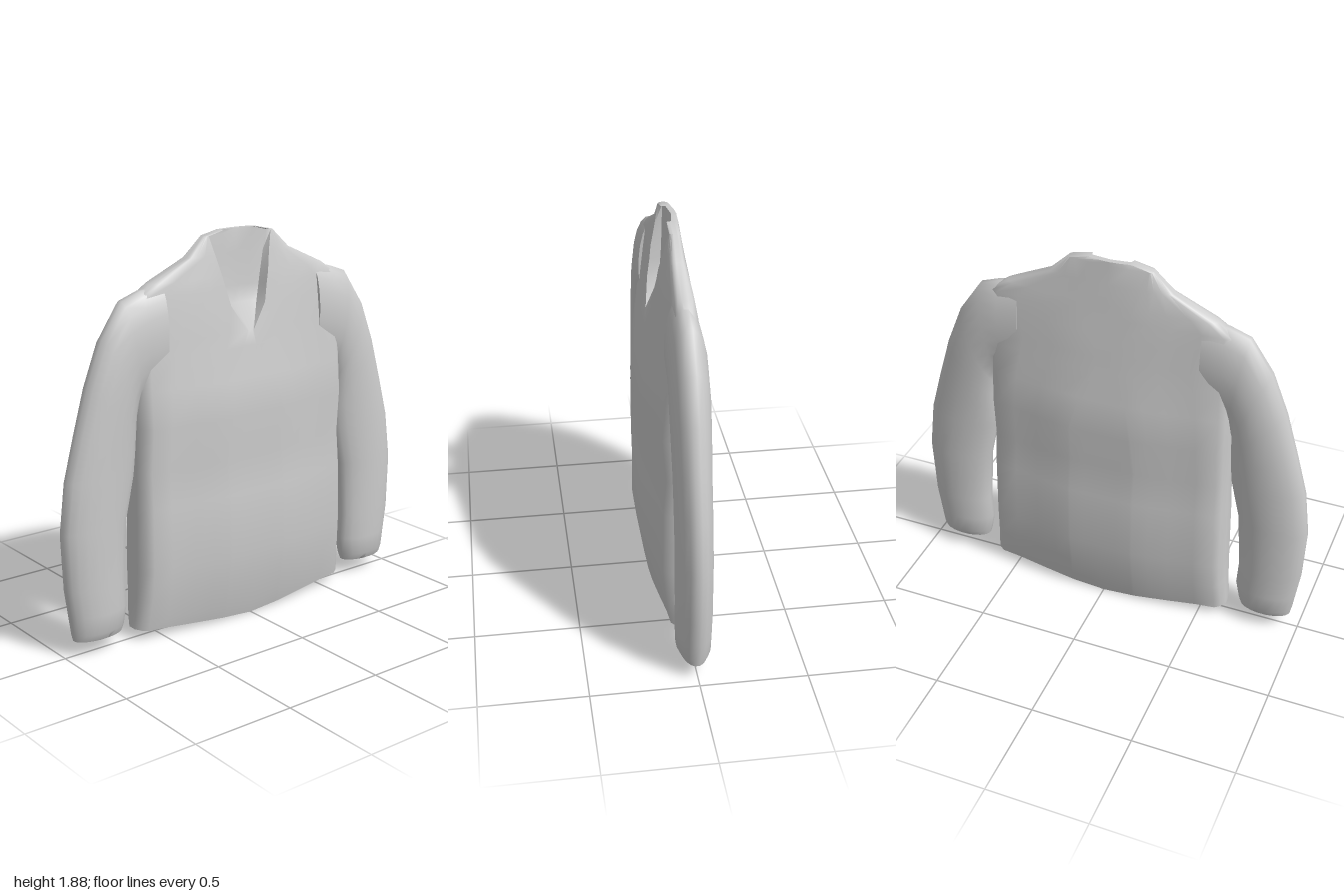
import * as THREE from 'three';
import { toCreasedNormals } from 'three/addons/utils/BufferGeometryUtils.js';

const material = new THREE.MeshStandardMaterial({ color: 0xcccccc });

// Skin a list of equal-length rings and close both ends.
function loft(rings, crease) {
  const n = rings[0].length, last = (rings.length - 1) * n, index = [];
  for (let r = 0; r < rings.length - 1; r++) {
    for (let i = 0; i < n; i++) {
      const a = r * n + i, b = r * n + (i + 1) % n;
      index.push(a, b, b + n, a, b + n, a + n);
    }
  }
  for (let i = 0; i < n / 2 - 1; i++) {
    const j = n - 1 - i;
    index.push(i, j, j - 1, i, j - 1, i + 1);
    index.push(last + i, last + i + 1, last + j - 1, last + i, last + j - 1, last + j);
  }
  const geometry = new THREE.BufferGeometry();
  geometry.setAttribute('position', new THREE.Float32BufferAttribute(rings.flat(2), 3));
  geometry.setIndex(index);
  return toCreasedNormals(geometry, crease);
}

// Relative thickness across the body, from the middle (0) to the side (1).
const BULGE = [[0, 1], [0.27, 1], [0.5, 0.88], [0.76, 0.71], [0.93, 0.66], [0.98, 0.45], [1, 0.2]];
function bulge(u) {
  for (let i = 1; i < BULGE.length; i++) {
    const [u0, h0] = BULGE[i - 1], [u1, h1] = BULGE[i];
    if (u <= u1) return h0 + (h1 - h0) * (u - u0) / (u1 - u0);
  }
  return 0.2;
}

// Body rows: height, half width, half thickness, neckline half width, neck floor x.
const BODY = [
  [0.05, 0.63, 0.11, 0.17], [0.1, 0.628, 0.125, 0.17], [0.2, 0.62, 0.145, 0.17],
  [0.34, 0.615, 0.166, 0.17], [0.65, 0.61, 0.16, 0.17], [0.82, 0.605, 0.138, 0.17],
  [1.03, 0.605, 0.166, 0.16], [1.2, 0.605, 0.14, 0.12], [1.35, 0.605, 0.115, 0.05],
  [1.42, 0.6, 0.105, 0.02], [1.54, 0.6, 0.087, 0.1, 0.02], [1.62, 0.6, 0.073, 0.12, 0.012],
  [1.68, 0.51, 0.065, 0.135, 0.006], [1.775, 0.3, 0.05, 0.158, 0],
  [1.865, 0.205, 0.037, 0.182, -0.005], [1.885, 0.11, 0.035, 0.1, -0.01],
];

function bodyRing([y, w, t, v, floor]) {
  const sag = 0.05 * Math.max(0, 1 - (y - 0.05) / 0.25);
  const half = [1, 0.96, 0.9, 0.68, 0.4, 0.18, 0].map(f => [v + (w - v) * f, false]);
  half.push([v * 0.93, true], [v * 0.5, true]);
  const columns = [...half, [0, true], ...half.slice().reverse().map(([z, inside]) => [-z, inside])];
  const point = (x, z) => [x, y - sag * (1 - Math.abs(z) / w), z];
  const front = columns.map(([z, inside]) => {
    const dip = inside && floor !== undefined;
    return point(dip ? floor + 0.012 * Math.abs(z) / v : t * bulge(Math.abs(z) / w), z);
  });
  const back = columns.map(([z]) => point(-t * bulge(Math.abs(z) / w), z)).reverse();
  return [...front, ...back];
}

// Sleeve sections: outer z, y, inner z, y, half thickness.
const SLEEVE = [
  [0.45, 1.68, 0.45, 1.2, 0.08], [0.56, 1.655, 0.54, 1.18, 0.085], [0.66, 1.62, 0.585, 1.15, 0.088],
  [0.77, 1.46, 0.6, 1.08, 0.09], [0.85, 1.26, 0.603, 1.0, 0.088], [0.915, 1.04, 0.606, 0.92, 0.085],
  [0.97, 0.84, 0.615, 0.82, 0.084], [1.0, 0.6, 0.66, 0.62, 0.084], [0.99, 0.33, 0.68, 0.33, 0.084],
  [0.972, 0.2, 0.672, 0.2, 0.083], [0.96, 0.11, 0.69, 0.11, 0.08], [0.953, 0.075, 0.7, 0.075, 0.062],
];

function sleeveRing([oz, oy, iz, iy, t], side) {
  const n = 20;
  return Array.from({ length: n }, (_, i) => {
    const a = (i + 0.5) / n * Math.PI * 2, c = Math.cos(a) / Math.cos(Math.PI / n);
    const k = (1 + c) / 2;
    return [0.005 - side * Math.sin(a) * t, iy + (oy - iy) * k, side * (iz + (oz - iz) * k)];
  });
}

export function createModel() {
  const group = new THREE.Group();
  group.name = 'sweater';
  const add = (name, geometry) => {
    const mesh = new THREE.Mesh(geometry, material);
    mesh.name = name;
    group.add(mesh);
  };

  // Torso with sagging hem and sunken V neck
  add('body', loft(BODY.map(bodyRing), 1.0));

  // Sleeves hang from the shoulders at both ends of z
  for (const side of [1, -1]) {
    add(side > 0 ? 'frontSleeve' : 'backSleeve', loft(SLEEVE.map(s => sleeveRing(s, side)), 1.1));
  }
  return group;
}
